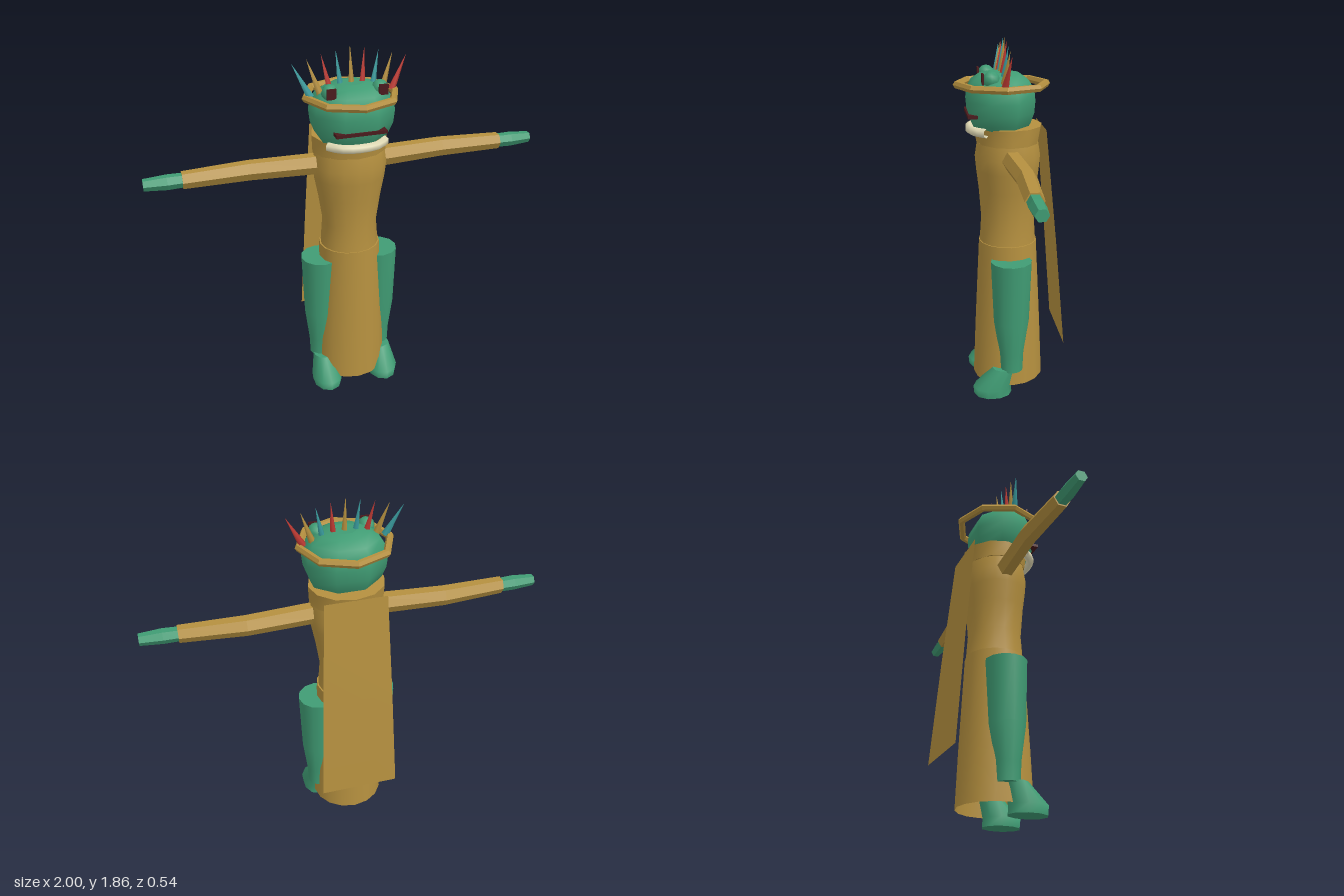
import * as THREE from 'three';

const mat = (name, color, side = THREE.FrontSide) => {
  const m = new THREE.MeshStandardMaterial({ color, side });
  m.name = name;
  return m;
};

// Skin a stack of elliptical rings [cx, y, cz, rx, rz], listed bottom to top.
function loft(rings, sides, { turn = 0, capBottom = true, capTop = true, flat = false } = {}) {
  const pos = [], idx = [];
  const addRing = ([cx, y, cz, rx, rz]) => {
    const start = pos.length / 3;
    for (let i = 0; i < sides; i++) {
      const a = (i / sides) * Math.PI * 2 + turn;
      pos.push(cx + rx * Math.sin(a), y, cz + rz * Math.cos(a));
    }
    return start;
  };
  const starts = rings.map(addRing);
  for (let r = 0; r < rings.length - 1; r++) {
    for (let i = 0; i < sides; i++) {
      const j = (i + 1) % sides;
      const a = starts[r] + i, b = starts[r] + j, c = starts[r + 1] + j, d = starts[r + 1] + i;
      idx.push(a, b, c, a, c, d);
    }
  }
  const cap = (ring, up) => {
    const s = addRing(ring);
    for (let i = 1; i < sides - 1; i++) idx.push(s, s + (up ? i : i + 1), s + (up ? i + 1 : i));
  };
  if (capBottom) cap(rings[0], false);
  if (capTop) cap(rings[rings.length - 1], true);
  let g = new THREE.BufferGeometry();
  g.setAttribute('position', new THREE.Float32BufferAttribute(pos, 3));
  g.setIndex(idx);
  if (flat) g = g.toNonIndexed();
  g.computeVertexNormals();
  return g;
}

export function createModel() {
  const model = new THREE.Group();
  model.name = 'robedFrog';
  const gold = mat('robe gold', 0xb5903f);
  const cloth = mat('cloth gold', 0xb5903f, THREE.DoubleSide);
  cloth.color = gold.color;
  const green = mat('skin green', 0x409c74);
  const cream = mat('ruff cream', 0xe2dbb6, THREE.DoubleSide);
  const dark = mat('dark maroon', 0x4a1a1c);
  const red = mat('spike red', 0xbf3a33);
  const teal = mat('spike teal', 0x3a9c9e);

  const add = (name, geometry, material, parent = model) => {
    const m = new THREE.Mesh(geometry, material);
    m.name = name;
    parent.add(m);
    return m;
  };

  // Robe: open skirt, waisted torso and flared collar
  add('skirt', loft([
    [0, 0.05, 0, 0.192, 0.187], [0, 0.35, 0, 0.182, 0.174], [0, 0.82, 0, 0.158, 0.15],
  ], 16, { capBottom: false }), cloth);
  add('torso', loft([
    [0, 0.8, 0, 0.152, 0.147], [0, 0.95, 0, 0.14, 0.137], [0, 1.1, 0, 0.162, 0.148],
    [0, 1.2, 0, 0.181, 0.16], [0, 1.27, 0, 0.189, 0.166], [0, 1.34, 0, 0.178, 0.155],
  ], 16), gold);
  add('collar', loft([[0, 1.34, 0, 0.187, 0.157], [0, 1.425, 0, 0.19, 0.172]], 12), gold);

  // Cape: one thin sheet hanging behind
  const cape = new THREE.PlaneGeometry(2, 1, 1, 2);
  const rows = [[0.155, 1.42, -0.17], [0.18, 0.86, -0.223], [0.203, 0.29, -0.27]];
  const cp = cape.attributes.position;
  for (let i = 0; i < cp.count; i++) {
    const [w, y, z] = rows[Math.floor(i / 2)];
    cp.setXYZ(i, cp.getX(i) * w, y, z);
  }
  cape.computeVertexNormals();
  add('cape', cape, cloth);

  for (const s of [1, -1]) {
    const side = s > 0 ? 'left' : 'right';

    // Arms run along x; lofted upright, then laid on their side
    const limb = (name, rings, material) => {
      const g = loft(rings, 6, { flat: true });
      g.rotateZ(-s * Math.PI / 2);
      g.translate(0, 1.275, 0);
      add(side + name, g, material);
    };
    limb('Sleeve', [
      [0, 0.14, 0, 0.054, 0.052], [0, 0.5, -0.022, 0.05, 0.05], [0, 0.82, -0.005, 0.043, 0.043],
    ], gold);
    limb('Hand', [
      [0, 0.81, -0.005, 0.035, 0.036], [0, 0.89, -0.003, 0.037, 0.038], [0, 1.0, -0.003, 0.029, 0.03],
    ], green);

    // Legs and feet
    add(side + 'Leg', loft([
      [s * 0.165, 0.14, 0, 0.06, 0.06], [s * 0.165, 0.24, 0, 0.064, 0.064],
      [s * 0.16, 0.42, 0, 0.09, 0.092], [s * 0.155, 0.75, 0, 0.105, 0.105],
    ], 12), green);
    add(side + 'Foot', loft([
      [s * 0.16, 0, 0.1, 0.076, 0.1], [s * 0.16, 0.045, 0.104, 0.081, 0.1],
      [s * 0.165, 0.15, 0.042, 0.052, 0.058],
    ], 10), green);

    // Bulging eye with a dark pupil plate
    const eye = add(side + 'Eye', new THREE.SphereGeometry(0.042, 8, 6), green);
    eye.position.set(s * 0.122, 1.66, 0.093);
    const pupil = add(side + 'Pupil', new THREE.BoxGeometry(0.046, 0.05, 0.009), dark);
    pupil.position.set(s * 0.126, 1.666, 0.134);
  }

  // Head: boxy rounded form with eight sides
  const head = [
    [1.4, 0.74], [1.44, 0.87], [1.49, 0.97], [1.55, 1], [1.6, 0.97], [1.645, 0.83], [1.675, 0.58], [1.685, 0.3],
  ].map(([y, k]) => [0, y, 0.038, 0.212 * k, 0.178 * k]);
  add('head', loft(head, 8, { turn: Math.PI / 8 }), green);
  const mouth = add('mouth', new THREE.BoxGeometry(0.25, 0.016, 0.05), dark);
  mouth.position.set(0, 1.484, 0.182);

  // Cream ruff curving round the throat
  const ruffPath = new THREE.CatmullRomCurve3([
    [-0.142, 0.12], [-0.09, 0.172], [0, 0.19], [0.09, 0.172], [0.142, 0.12],
  ].map(([x, z]) => new THREE.Vector3(x, 1.408, z)));
  add('throatRuff', new THREE.TubeGeometry(ruffPath, 8, 0.023, 6), cream);

  // Eight-sided headband
  const band = new THREE.TorusGeometry(0.221, 0.019, 6, 8);
  band.rotateX(Math.PI / 2);
  const bandMesh = add('headband', band.toNonIndexed(), gold);
  bandMesh.geometry.computeVertexNormals();
  bandMesh.position.set(0, 1.623, 0.028);

  // Fan of nine spikes across the crown
  const spikes = new THREE.Group();
  spikes.name = 'crownSpikes';
  model.add(spikes);
  const up = new THREE.Vector3(0, 1, 0);
  for (let i = -4; i <= 4; i++) {
    const base = new THREE.Vector3(i * 0.05, 1.63, 0.037);
    const tip = new THREE.Vector3(i * 0.07, 1.857 - 0.017 * Math.abs(i), 0.013);
    const dir = tip.clone().sub(base);
    const spike = add('spike', new THREE.ConeGeometry(0.019, dir.length(), 5), [teal, gold, red][(i + 4) % 3], spikes);
    spike.position.copy(base).add(tip).multiplyScalar(0.5);
    spike.quaternion.setFromUnitVectors(up, dir.normalize());
  }
  return model;
}
